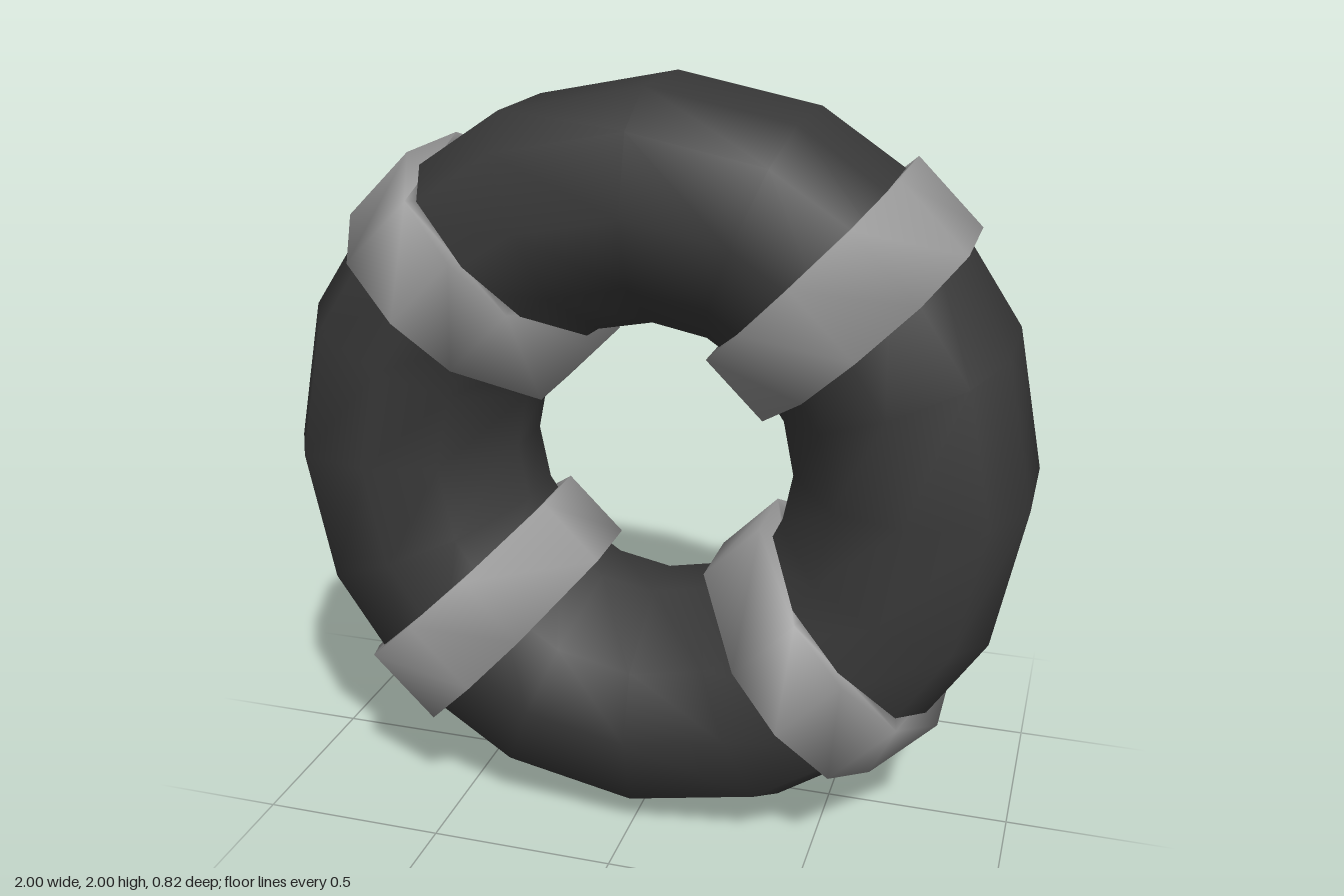
import * as THREE from 'three';
import { mergeVertices } from 'three/addons/utils/BufferGeometryUtils.js';

// Half cross-sections as [distance from ring axis, depth], inner to outer
const TUBE = [[0.385, 0.085], [0.53, 0.305], [0.715, 0.365], [0.915, 0.31], [1.0, 0.155]];
const STRAP = [[0.322, 0.11], [0.53, 0.36], [0.715, 0.41], [0.905, 0.357], [1.02, 0.16]];

// Mirror a half section into a full counter-clockwise outline
function outline(half, scale = 1) {
  const pts = [
    ...half.map(([r, d]) => [r, -d]),
    ...half.slice().reverse(),
  ];
  return pts.map(([r, d]) => new THREE.Vector2(0.69 + (r - 0.69) * scale, d * scale));
}

// Share vertices so the shading runs smoothly over the whole surface
function smooth(geometry) {
  geometry.deleteAttribute('uv');
  geometry.deleteAttribute('normal');
  const merged = mergeVertices(geometry, 1e-4);
  merged.computeVertexNormals();
  return merged;
}

function ringGeometry() {
  const profile = outline(TUBE);
  profile.push(profile[0].clone());
  return smooth(new THREE.LatheGeometry(profile, 16)).rotateX(Math.PI / 2);
}

function strapGeometry() {
  const width = 0.245;
  const shape = new THREE.Shape(outline(STRAP));
  shape.holes.push(new THREE.Path(outline(TUBE, 0.85)));
  const g = new THREE.ExtrudeGeometry(shape, { depth: width, bevelEnabled: false });
  g.translate(0, 0, -width / 2);
  // Narrow the band slightly towards the hole
  const p = g.attributes.position;
  for (let i = 0; i < p.count; i++) {
    p.setZ(i, p.getZ(i) * (1 - 0.17 * (1.02 - p.getX(i))));
  }
  return smooth(g).rotateX(Math.PI / 2);
}

export function createModel() {
  const group = new THREE.Group();
  group.name = 'ringBuoy';

  // Dark ring
  const ring = new THREE.Mesh(ringGeometry(), new THREE.MeshStandardMaterial({ color: 0x393939 }));
  ring.name = 'ring';
  ring.position.y = 1;
  group.add(ring);

  // Four diagonal straps
  const strapGeo = strapGeometry();
  const strapMat = new THREE.MeshStandardMaterial({ color: 0x999999 });
  for (let i = 0; i < 4; i++) {
    const strap = new THREE.Mesh(strapGeo, strapMat);
    strap.name = 'strap' + (i + 1);
    strap.position.y = 1;
    strap.rotation.z = Math.PI / 4 + (i * Math.PI) / 2;
    group.add(strap);
  }
  return group;
}
